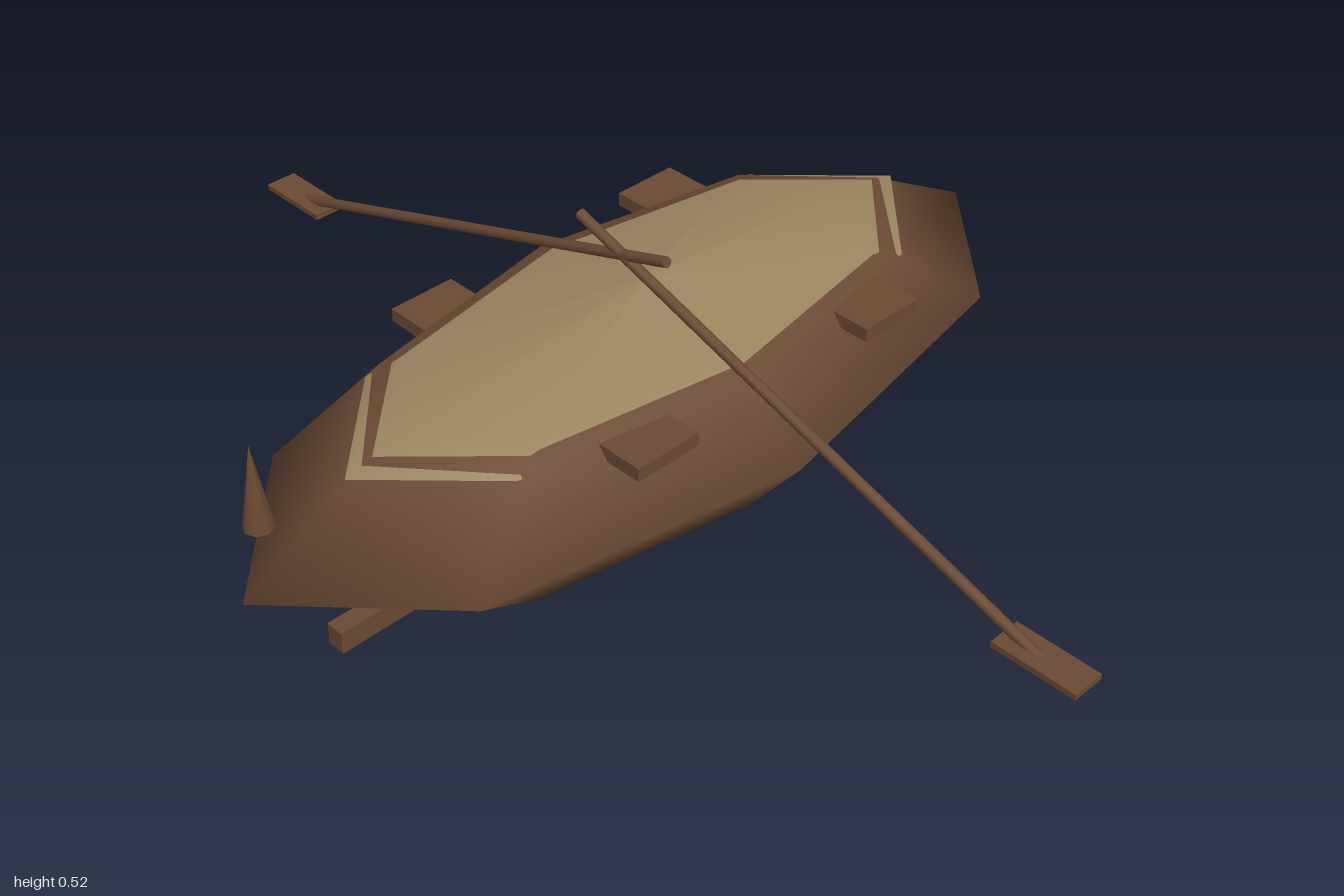
import * as THREE from 'three';

export function createModel() {
  const boat = new THREE.Group();
  boat.name = 'rowingBoat';

  const wood = new THREE.MeshStandardMaterial({ color: 0x6b4a34 });
  wood.name = 'dark wood';
  const canvas = new THREE.MeshStandardMaterial({ color: 0x9c8560 });
  canvas.name = 'tan deck';

  const add = (name, geometry, material, x, y, z, parent = boat) => {
    const mesh = new THREE.Mesh(geometry, material);
    mesh.name = name;
    mesh.position.set(x, y, z);
    parent.add(mesh);
    return mesh;
  };

  // Hull: coarse, smooth-shaded ellipsoid
  const hull = new THREE.SphereGeometry(1, 8, 4).scale(0.375, 0.2, 0.86);
  add('hull', hull, wood, 0, 0.2, 0);

  // Deck: shallow eight-sided dome resting on the hull
  const profile = [[0.65, 0.328], [0.552, 0.354], [0, 0.4005]]
    .map(([r, y]) => new THREE.Vector2(r, y));
  const deck = new THREE.LatheGeometry(profile, 8).scale(0.413, 1, 1);
  add('deck', deck, canvas, 0, 0, 0);

  // Keel under the hull
  add('keel', new THREE.BoxGeometry(0.036, 0.043, 1.4), wood, 0, 0.0235, 0);

  // Thwarts: planks whose ends stick out of the hull
  for (const [name, z] of [['frontThwart', 0.243], ['backThwart', -0.298]]) {
    add(name, new THREE.BoxGeometry(0.612, 0.026, 0.133), wood, 0, 0.321, z);
  }

  // Pointed bow ornament
  add('bowSpike', new THREE.ConeGeometry(0.026, 0.155, 8), wood, 0, 0.408, 0.813);

  // Oars: crossed shafts with flat blades, mirrored
  for (const side of [1, -1]) {
    const oar = new THREE.Group();
    oar.name = side > 0 ? 'leftOar' : 'rightOar';
    boat.add(oar);
    const grip = new THREE.Vector3(-0.105 * side, 0.506, 0.05);
    const tip = new THREE.Vector3(0.912 * side, 0.172, 0.05);
    const along = tip.clone().sub(grip);
    const mid = grip.clone().add(tip).multiplyScalar(0.5);
    const shaft = add('shaft', new THREE.CylinderGeometry(0.01, 0.01, along.length(), 8),
      wood, mid.x, mid.y, mid.z, oar);
    shaft.quaternion.setFromUnitVectors(new THREE.Vector3(0, 1, 0), along.normalize());
    add('blade', new THREE.BoxGeometry(0.16, 0.011, 0.064), wood, 0.92 * side, 0.175, 0.05, oar);
  }

  return boat;
}
